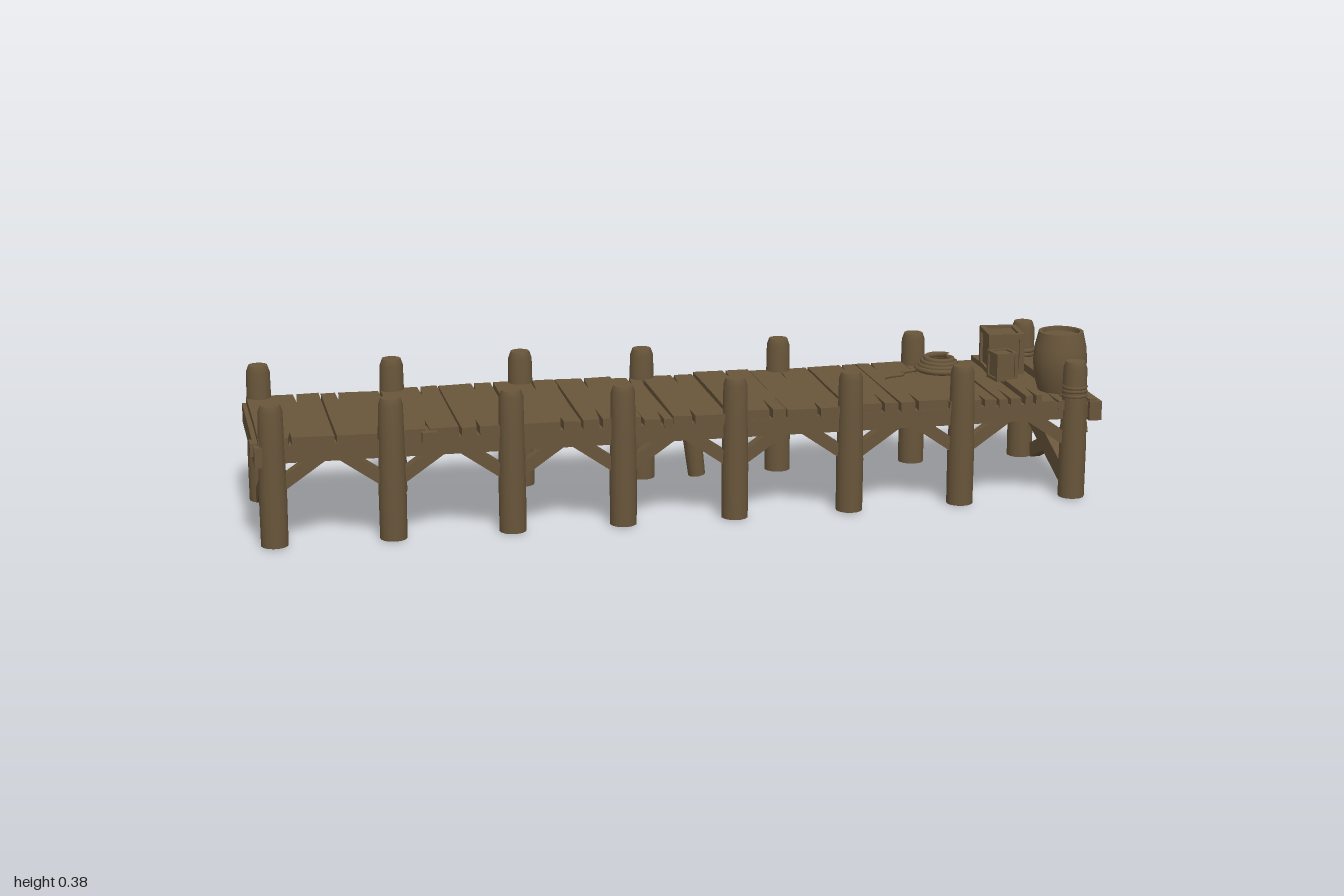
import * as THREE from 'three';

export function createModel() {
  const root = new THREE.Group();
  root.name = 'woodenDock';
  const wood = new THREE.MeshStandardMaterial({ color: 0x69563b });
  wood.name = 'weathered wood';

  // small seeded generator, returns -1..1
  let seed = 7;
  const rnd = () => {
    seed = (seed * 16807) % 2147483647;
    return (seed / 2147483647) * 2 - 1;
  };
  const add = (name, geo, x = 0, y = 0, z = 0, parent = root) => {
    const m = new THREE.Mesh(geo, wood);
    m.name = name;
    m.position.set(x, y, z);
    parent.add(m);
    return m;
  };
  // rectangular timber between two points; w is across, h is up
  const timber = (name, a, b, w, h) => {
    const A = new THREE.Vector3(...a), B = new THREE.Vector3(...b);
    const m = add(name, new THREE.BoxGeometry(w, h, A.distanceTo(B)));
    m.position.copy(A).add(B).multiplyScalar(0.5);
    m.lookAt(B);
    return m;
  };
  const lathe = (pts, sides) =>
    new THREE.LatheGeometry(pts.map(p => new THREE.Vector2(...p)), sides);
  const ring = (name, x, y, z, r, t) => {
    const m = add(name, new THREE.TorusGeometry(r, t, 6, 16), x, y, z);
    m.rotation.x = Math.PI / 2 + rnd() * 0.06;
    return m;
  };

  // posts with worn, chamfered tops; doubled profile points keep the end edges sharp
  const post = (x, z, h, r = 0.031) => {
    const m = add('post', lathe([[0, 0], [r, 0], [r, 0], [r * 1.02, 0.12], [r * 0.94, 0.24],
      [r * 0.9, h - 0.016], [r * 0.72, h], [r * 0.72, h], [0, h]], 14), x, 0, z);
    m.rotation.y = rnd() * 3;
  };
  const frontX = [-0.953, -0.685, -0.412, -0.155, 0.108, 0.383, 0.653, 0.93];
  const backX = [-0.953, -0.64, -0.332, -0.036, 0.303, 0.645, 0.928];
  frontX.forEach(x => post(x, 0.185, 0.33 + rnd() * 0.004));
  backX.forEach((x, i) => post(x, -0.187, i === 6 ? 0.342 : 0.325 + rnd() * 0.005));

  // knee braces either side of every post
  [[frontX, 0.178], [backX, -0.178]].forEach(([xs, z]) => xs.forEach((x, i) => {
    for (const s of [-1, 1]) {
      if ((i === 0 && s < 0) || (i === xs.length - 1 && s > 0)) continue;
      timber('kneeBrace', [x + s * 0.015, 0.137, z], [x + s * 0.11, 0.203, z], 0.028, 0.028);
    }
  }));

  // long side beams and crossing end frames
  for (const z of [-0.176, 0.176]) timber('sideBeam', [-0.985, 0.211, z], [0.985, 0.211, z], 0.03, 0.04);
  for (const s of [-1, 1]) {
    timber('endBeam', [s * 0.977, 0.21, -0.202], [s * 0.977, 0.21, 0.205], 0.03, 0.046);
    timber('endBrace', [s * 0.958, 0.168, 0.17], [s * 0.958, 0.016, -0.162], 0.024, 0.034);
    timber('endBrace', [s * 0.935, 0.024, 0.165], [s * 0.935, 0.147, -0.165], 0.024, 0.048);
  }

  // broken support under the back edge
  const stub = add('brokenSupport', new THREE.CylinderGeometry(0.025, 0.021, 0.17, 10), 0.088, 0.085, -0.176);
  stub.rotation.z = 0.12;
  timber('brokenStrut', [0.085, 0.1, -0.165], [0.15, 0.2, -0.165], 0.022, 0.022);
  timber('brokenStrut', [0.08, 0.09, -0.172], [0.03, 0.18, -0.15], 0.02, 0.022);
  ring('brokenSupportRope', 0.086, 0.12, -0.176, 0.026, 0.005);

  // underlayer that closes the gaps and forms the flat underside
  add('deckUnderside', new THREE.BoxGeometry(1.94, 0.022, 0.355), 0, 0.213, 0);

  // deck planks with split ends
  const plank = (x0, x1, zLen, top) => {
    const w = (x1 - x0) / 2 - 0.0025, e = zLen / 2;
    const c = rnd() * w * 0.5, d = rnd() * w * 0.5;
    const pts = [
      [-w, -e + rnd() * 0.005], [c - 0.004, -e], [c + 0.003, -e + 0.07 + rnd() * 0.03], [c + 0.004, -e],
      [w, -e + rnd() * 0.005], [w + rnd() * 0.002, rnd() * 0.05], [w, e + rnd() * 0.005],
      [d + 0.004, e], [d - 0.002, e - 0.075 + rnd() * 0.035], [d - 0.004, e],
      [-w, e + rnd() * 0.005], [-w + rnd() * 0.002, rnd() * 0.05],
    ];
    const geo = new THREE.ExtrudeGeometry(new THREE.Shape(pts.map(p => new THREE.Vector2(...p))),
      { depth: 0.022, bevelEnabled: false });
    geo.rotateX(-Math.PI / 2);
    const m = add('deckPlank', geo, (x0 + x1) / 2, top - 0.022, rnd() * 0.004);
    m.rotation.set(rnd() * 0.006, rnd() * 0.008, rnd() * 0.012);
  };
  const seams = [-0.985, -0.81, -0.67, -0.53, -0.4, -0.25, -0.11, -0.04, 0.09,
    0.23, 0.375, 0.5, 0.62, 0.74, 0.8, 0.845, 0.91, 0.985];
  for (let i = 0; i < seams.length - 1; i++) {
    const x = seams[i], narrow = x === 0.8;
    const top = narrow ? 0.256 : x > 0.8 ? 0.236 : 0.25 + rnd() * 0.003;
    plank(x, seams[i + 1], narrow ? 0.42 : 0.385, top);
  }
  timber('plankEnd', [-0.985, 0.222, 0.14], [-0.985, 0.222, 0.18], 0.03, 0.03);
  timber('plankEnd', [-0.6, 0.235, 0.15], [-0.6, 0.235, 0.208], 0.035, 0.026);
  timber('plankEnd', [-0.24, 0.235, -0.15], [-0.24, 0.235, -0.205], 0.035, 0.026);
  timber('loosePlank', [0.925, 0.245, -0.165], [0.91, 0.256, 0.015], 0.04, 0.018);

  // barrel with a recessed lid
  add('barrel', lathe([[0, 0], [0.05, 0], [0.05, 0], [0.058, 0.025], [0.0635, 0.055], [0.0645, 0.08],
    [0.062, 0.108], [0.053, 0.146], [0.053, 0.146], [0.045, 0.146], [0.045, 0.146],
    [0.044, 0.136], [0.044, 0.136], [0, 0.136]], 18), 0.928, 0.233, 0.084);

  // crates: box panel with edge battens
  const crate = (x, y, z, w, h, d, turn) => {
    const g = new THREE.Group();
    g.name = 'crate';
    g.position.set(x, y, z);
    g.rotation.y = turn;
    root.add(g);
    const t = Math.min(w, h, d) * 0.14;
    add('cratePanel', new THREE.BoxGeometry(w - t, h - t, d - t), 0, h / 2, 0, g);
    for (const a of [-1, 1]) for (const b of [-1, 1]) {
      const X = a * (w - t) / 2, Z = b * (d - t) / 2;
      add('crateCorner', new THREE.BoxGeometry(t, h, t), X, h / 2, Z, g);
      const Y = h / 2 + b * (h - t) / 2;
      add('crateBatten', new THREE.BoxGeometry(t, t, d), X, Y, 0, g);
      add('crateBatten', new THREE.BoxGeometry(w, t, t), 0, Y, a * (d - t) / 2, g);
    }
  };
  crate(0.832, 0.253, -0.065, 0.088, 0.099, 0.105, -0.1);
  crate(0.805, 0.253, 0.022, 0.055, 0.067, 0.055, 0.15);

  // coiled rope with a loose tail
  const coil = [];
  for (let i = 0; i <= 72; i++) {
    const a = i * Math.PI / 9, r = 0.056 - i * 0.0004;
    coil.push(new THREE.Vector3(0.68 + r * Math.cos(a), 0.257 + i * 0.00042, -0.09 + r * Math.sin(a)));
  }
  add('ropeCoil', new THREE.TubeGeometry(new THREE.CatmullRomCurve3(coil), 144, 0.007, 6));
  const tail = [[0.625, -0.09], [0.59, -0.075], [0.575, -0.05], [0.55, -0.045], [0.525, -0.03]]
    .map(([x, z]) => new THREE.Vector3(x, 0.256, z));
  add('ropeTail', new THREE.TubeGeometry(new THREE.CatmullRomCurve3(tail), 20, 0.005, 6));

  // rope lashings on the end posts
  for (const y of [0.25, 0.261, 0.272]) {
    ring('postRope', 0.928, y, -0.187, 0.027, 0.006);
    ring('postRope', 0.93, y - 0.003, 0.185, 0.027, 0.004);
  }
  return root;
}
